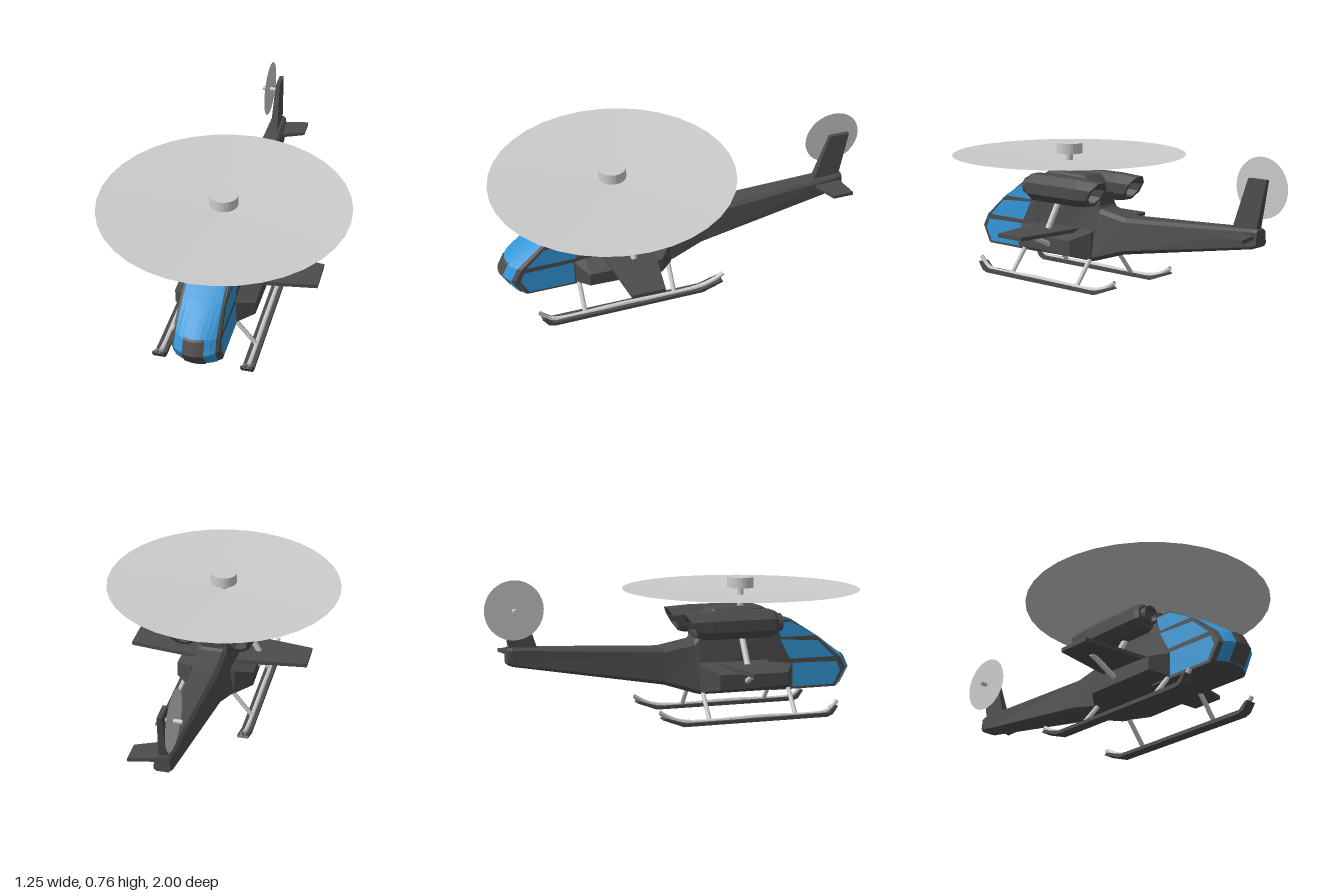
import * as THREE from 'three';

const material = (color) => new THREE.MeshStandardMaterial({ color, flatShading: true, side: THREE.DoubleSide });
const light = material(0xcccccc);
const dark = material(0x4c4c4c);
const blue = material(0x3296d6);

function add(parent, name, geometry, mat) {
  const mesh = new THREE.Mesh(geometry, mat);
  mesh.name = name;
  parent.add(mesh);
  return mesh;
}

// Skin over rings of [x, y, z] points, running from front to back, closed at both ends
function loft(rings) {
  const pos = [];
  const n = rings[0].length;
  const last = rings[rings.length - 1];
  for (let i = 0; i < rings.length - 1; i++) {
    for (let j = 0; j < n; j++) {
      const k = (j + 1) % n, a = rings[i], b = rings[i + 1];
      pos.push(...a[j], ...b[j], ...b[k], ...a[j], ...b[k], ...a[k]);
    }
  }
  for (let j = 1; j < n - 1; j++) {
    pos.push(...rings[0][0], ...rings[0][j], ...rings[0][j + 1]);
    pos.push(...last[0], ...last[j + 1], ...last[j]);
  }
  const g = new THREE.BufferGeometry();
  g.setAttribute('position', new THREE.Float32BufferAttribute(pos, 3));
  g.computeVertexNormals();
  return g;
}

// Rectangle with cut corners; the top may be narrower than the bottom
function section(z, bottomW, topW, y0, y1, cut) {
  return [[bottomW - cut, y0], [bottomW, y0 + cut], [topW, y1 - cut], [topW - cut, y1],
    [cut - topW, y1], [-topW, y1 - cut], [-bottomW, y0 + cut], [cut - bottomW, y0]].map(([x, y]) => [x, y, z]);
}

// Straight round bar between two points
function bar(a, b, radius) {
  const path = new THREE.LineCurve3(new THREE.Vector3(...a), new THREE.Vector3(...b));
  const d = path.v2.clone().sub(path.v1);
  const g = new THREE.CylinderGeometry(radius, radius, d.length(), 10);
  const mid = path.getPoint(0.5);
  return g.applyQuaternion(new THREE.Quaternion().setFromUnitVectors(new THREE.Vector3(0, 1, 0), d.normalize()))
    .translate(mid.x, mid.y, mid.z);
}

const outline = (points) => new THREE.Shape(points.map((p) => new THREE.Vector2(...p)));

// Side outline in (z, y) thickened across x
function slab(points, width) {
  return new THREE.ExtrudeGeometry(outline(points), { depth: width, bevelEnabled: false })
    .translate(0, 0, -width / 2).rotateY(-Math.PI / 2);
}

function moveVertices(g, rule) {
  const p = g.attributes.position;
  for (let i = 0; i < p.count; i++) p.setXYZ(i, ...rule(p.getX(i), p.getY(i), p.getZ(i)));
  g.computeVertexNormals();
  return g;
}

// Half width of the cabin at a height
const cabinWidth = (y) => 0.12 - 0.015 * (y - 0.135) / 0.365;

// Curved nose skin: rows of [y, z at the side, z at the middle]
const noseRows = [[0.5, 0.62, 0.635], [0.4, 0.77, 0.8], [0.29, 0.89, 0.95], [0.225, 0.925, 0.98],
  [0.14, 0.88, 0.93], [0.135, 0.87, 0.87]];
function noseSkin(rows, u, offset) {
  return moveVertices(new THREE.PlaneGeometry(2 * u, rows.length - 1, 8, rows.length - 1), (x, y) => {
    const [h, side, middle] = rows[Math.round((rows.length - 1) / 2 - y)];
    return [x * cabinWidth(h), h, side + (middle - side) * (1 - x * x) + offset];
  });
}

export function createModel() {
  const model = new THREE.Group();
  model.name = 'helicopter';

  // Cabin, windscreen and nose panel
  const cabin = slab([[0.5, 0.135], [0.87, 0.135], [0.925, 0.225], [0.89, 0.29], [0.77, 0.4], [0.62, 0.505], [0.5, 0.505]], 1);
  add(model, 'cabin', moveVertices(cabin, (x, y, z) => [x * 2 * cabinWidth(y), y, z]), dark);
  add(model, 'noseFrame', noseSkin(noseRows, 1, 0), dark);
  add(model, 'windscreen', noseSkin(noseRows.slice(0, 5), 0.88, 0.006), blue);
  add(model, 'nosePanel', noseSkin([[0.298, 0.881, 0.94], ...noseRows.slice(2, 5)], 0.45, 0.011), dark);

  // Fuselage and tail boom
  add(model, 'fuselage', loft([
    section(0.62, 0.119, 0.1, 0.135, 0.49, 0.01),
    section(0.5, 0.12, 0.1, 0.135, 0.5, 0.015),
    section(0.12, 0.12, 0.08, 0.135, 0.45, 0.02),
    section(0.09, 0.118, 0.078, 0.14, 0.41, 0.02),
    section(-0.08, 0.09, 0.07, 0.193, 0.38, 0.02),
    section(-0.86, 0.046, 0.042, 0.325, 0.42, 0.012),
    section(-0.885, 0.042, 0.036, 0.335, 0.418, 0.012)]), dark);

  // Mast housing, mast, hub and shallow dish of the main rotor
  add(model, 'mastHousing', loft([
    section(0.5, 0.07, 0.06, 0.48, 0.56, 0.01),
    section(0.46, 0.072, 0.07, 0.48, 0.58, 0.012),
    section(0.2, 0.072, 0.07, 0.45, 0.575, 0.012),
    section(0.1, 0.06, 0.05, 0.42, 0.49, 0.012)]), dark);
  add(model, 'mast', bar([0, 0.55, 0.37], [0, 0.7, 0.37], 0.018), light);
  add(model, 'rotorHub', new THREE.CylinderGeometry(0.07, 0.07, 0.055, 24).translate(0, 0.702, 0.37), light);
  const dish = [new THREE.Vector2(0.001, 0.636), new THREE.Vector2(0.625, 0.671)];
  add(model, 'mainRotor', new THREE.LatheGeometry(dish, 36).translate(0, 0, 0.37), light);

  // Tail fin, one-sided stabilizer and tail rotor
  const fin = slab([[-0.73, 0.41], [-0.87, 0.41], [-0.918, 0.66], [-0.812, 0.66]], 0.04);
  add(model, 'tailFin', moveVertices(fin, (x, y, z) => [y > 0.5 ? x * 0.55 : x, y, z]), dark);
  const plan = (points, thickness, y) => new THREE.ExtrudeGeometry(outline(points), { depth: thickness, bevelEnabled: false })
    .rotateX(Math.PI / 2).translate(0, y + thickness / 2, 0);
  add(model, 'stabilizer', plan([[0.02, -0.72], [0.165, -0.785], [0.165, -0.895], [0.02, -0.865]], 0.018, 0.382), dark);
  const tailDisc = new THREE.CircleGeometry(0.15, 36).rotateY(-Math.PI / 2).translate(-0.05, 0.61, -0.85);
  add(model, 'tailRotor', tailDisc, light);
  add(model, 'tailRotorShaft', bar([-0.092, 0.608, -0.85], [0, 0.608, -0.85], 0.011), light);

  const windows = {
    upperWindow: [[0.755, 0.415], [0.62, 0.494], [0.53, 0.494], [0.555, 0.415]],
    middleWindow: [[0.865, 0.297], [0.77, 0.388], [0.555, 0.402], [0.61, 0.297]],
    lowerWindow: [[0.88, 0.27], [0.9, 0.22], [0.86, 0.148], [0.622, 0.148], [0.622, 0.275]],
  };

  for (const side of [1, -1]) {
    const half = new THREE.Group();
    half.name = side > 0 ? 'leftSide' : 'rightSide';
    half.scale.x = side;
    model.add(half);

    // Side windows lying on the cabin wall
    for (const [name, points] of Object.entries(windows)) {
      const pane = new THREE.ShapeGeometry(outline(points.slice().reverse()));
      add(half, name, moveVertices(pane, (z, y) => [cabinWidth(y) + 0.004, y, z]), blue);
    }

    // Sponson along the lower body
    const pod = (z, out, y0, y1, lo, hi) => [[0.1, y0, z], [out, lo, z], [out, hi, z], [0.1, y1, z]];
    add(half, 'sponson', loft([
      pod(0.615, 0.122, 0.14, 0.28, 0.15, 0.27), pod(0.56, 0.205, 0.135, 0.288, 0.175, 0.245),
      pod(0.18, 0.21, 0.135, 0.3, 0.17, 0.25), pod(0.105, 0.122, 0.14, 0.3, 0.15, 0.29)]), dark);

    // Stub wing with braces
    add(half, 'stubWing', plan([[0.08, 0.48], [0.485, 0.42], [0.485, 0.25], [0.08, 0.2]], 0.02, 0.29), dark);
    add(half, 'upperBrace', bar([0.12, 0.445, 0.33], [0.21, 0.295, 0.33], 0.016), light);
    add(half, 'lowerBrace', bar([0.19, 0.205, 0.33], [0.36, 0.285, 0.33], 0.014), light);

    // Eight-sided engine with a slanted, hollow exhaust
    const ring = (size, zTop, slant) => Array.from({ length: 8 }, (_, i) => {
      const a = (i + 0.5) * Math.PI / 4;
      const y = 0.5 + size * 1.08 * Math.sin(a);
      return [0.148 + size * 1.08 * Math.cos(a), y, zTop + slant * (0.57 - y)];
    });
    add(half, 'engine', loft([ring(0.058, 0.505, 0), ring(0.071, 0.48, 0), ring(0.071, 0.14, 0),
      ring(0.064, 0, 0.6), ring(0.048, 0, 0.6), ring(0.04, 0.1, 0.3)]), dark);
    const intake = [[0.001, 0], [0.03, 0.012], [0.036, 0.045], [0.048, 0.045], [0.05, 0]].map((p) => new THREE.Vector2(...p));
    add(half, 'intake', new THREE.LatheGeometry(intake, 16).rotateX(Math.PI / 2).translate(0.148, 0.5, 0.49), dark);

    // Skid: dark runner, light rail and two legs
    add(half, 'skidRunner', slab([[0.83, 0.055], [0.815, 0.055], [0.775, 0.02], [-0.02, 0.02], [-0.13, 0.055],
      [-0.14, 0.045], [-0.03, 0.003], [0.77, 0], [0.8, 0.012]], 0.058).translate(0.222, 0, 0), dark);
    const rail = new THREE.CatmullRomCurve3([[0.08, 0.835], [0.045, 0.805], [0.022, 0.765], [0.022, 0.4], [0.022, 0],
      [0.045, -0.09], [0.08, -0.15]].map(([y, z]) => new THREE.Vector3(0.222, y, z)), false, 'centripetal');
    add(half, 'skidRail', new THREE.TubeGeometry(rail, 40, 0.012, 8), light);
    for (const z of [0.6, 0.12]) add(half, 'skidLeg', bar([0.115, 0.145, z], [0.215, 0.02, z], 0.012), light);
  }
  return model;
}
